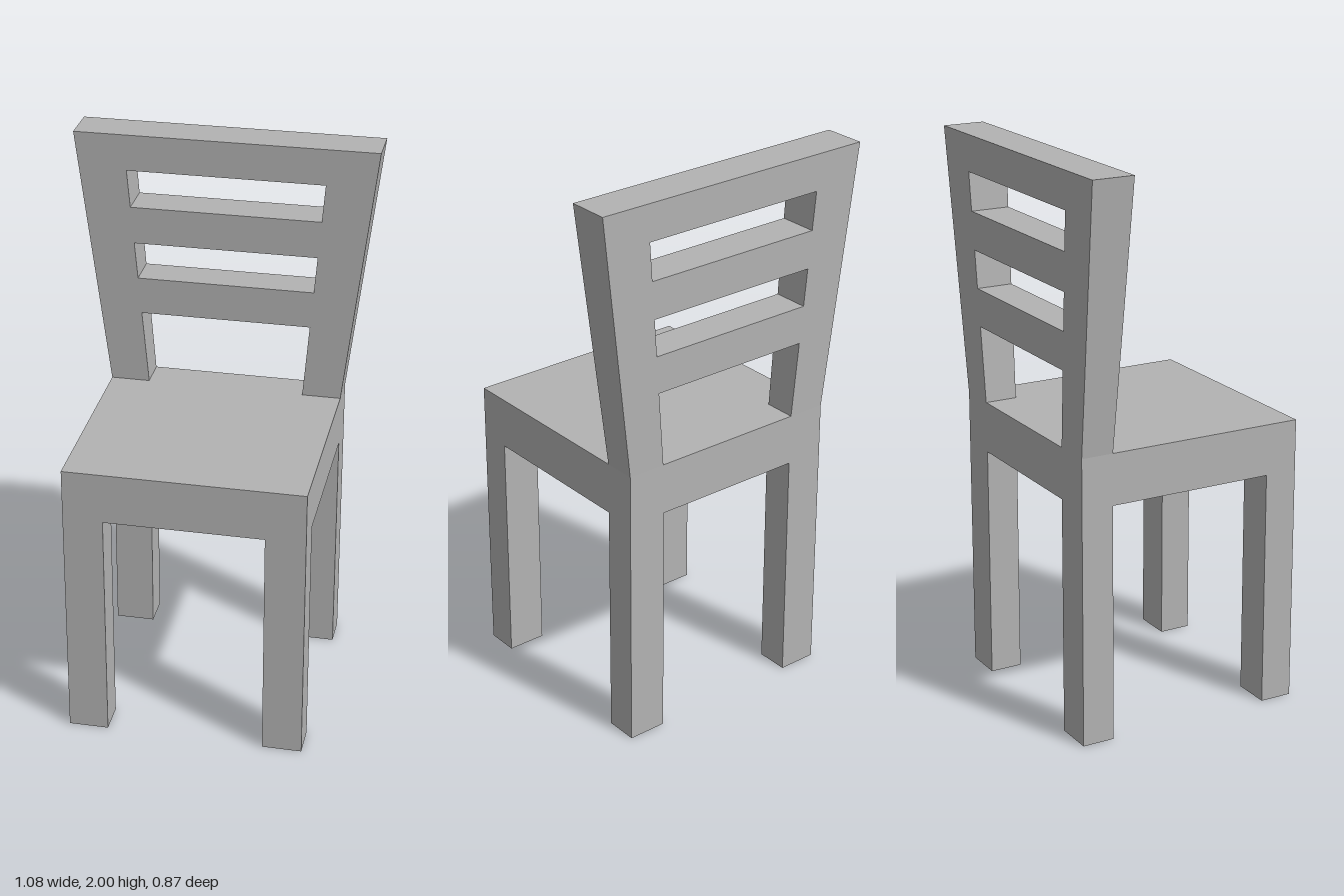
import * as THREE from 'three';

const SEAT_LOW = 0.86, SEAT_TOP = 1.045, TOP = 2;
const FRONT = 0.433, BACK = -0.415, HALF = 0.425;

export function createModel() {
  const grey = new THREE.MeshStandardMaterial({ color: 0xb3b3b3 });
  grey.name = 'grey';
  const chair = new THREE.Group();
  chair.name = 'chair';

  const addBox = (name, x0, x1, y0, y1, z0, z1) => {
    const mesh = new THREE.Mesh(new THREE.BoxGeometry(x1 - x0, y1 - y0, z1 - z0), grey);
    mesh.position.set((x0 + x1) / 2, (y0 + y1) / 2, (z0 + z1) / 2);
    mesh.name = name;
    chair.add(mesh);
  };

  // Seat block
  addBox('seat', -HALF, HALF, SEAT_LOW, SEAT_TOP, BACK, FRONT);

  // Four square legs
  for (const [side, x0, x1] of [['left', 0.283, HALF], ['right', -HALF, -0.283]]) {
    addBox(side + 'FrontLeg', x0, x1, 0, SEAT_LOW, 0.315, FRONT);
    addBox(side + 'BackLeg', x0, x1, 0, SEAT_LOW, BACK, -0.297);
  }

  // Backrest outline: flared, with an open gap above the seat
  const inner = (y) => 0.285 + 0.083 * (y - SEAT_TOP);
  const points = (list) => list.map(([x, y]) => new THREE.Vector2(x, y));
  const gapTop = 1.32;
  const outline = new THREE.Shape(points([
    [-HALF, SEAT_TOP], [-inner(SEAT_TOP), SEAT_TOP], [-inner(gapTop), gapTop],
    [inner(gapTop), gapTop], [inner(SEAT_TOP), SEAT_TOP], [HALF, SEAT_TOP],
    [0.541, TOP], [-0.541, TOP],
  ]));

  // Two slots between the slats
  for (const [y0, y1] of [[1.457, 1.593], [1.73, 1.868]]) {
    outline.holes.push(new THREE.Path(points([
      [-inner(y0), y0], [-inner(y1), y1], [inner(y1), y1], [inner(y0), y0],
    ])));
  }

  // Thicken the backrest steadily towards the top
  const geometry = new THREE.ExtrudeGeometry(outline, { depth: 1, bevelEnabled: false });
  const pos = geometry.attributes.position;
  for (let i = 0; i < pos.count; i++) {
    const t = (pos.getY(i) - SEAT_TOP) / (TOP - SEAT_TOP);
    const back = THREE.MathUtils.lerp(BACK, -0.433, t);
    const front = THREE.MathUtils.lerp(-0.297, -0.281, t);
    pos.setZ(i, pos.getZ(i) > 0.5 ? front : back);
  }
  geometry.computeVertexNormals();
  const backrest = new THREE.Mesh(geometry, grey);
  backrest.name = 'backrest';
  chair.add(backrest);

  return chair;
}
